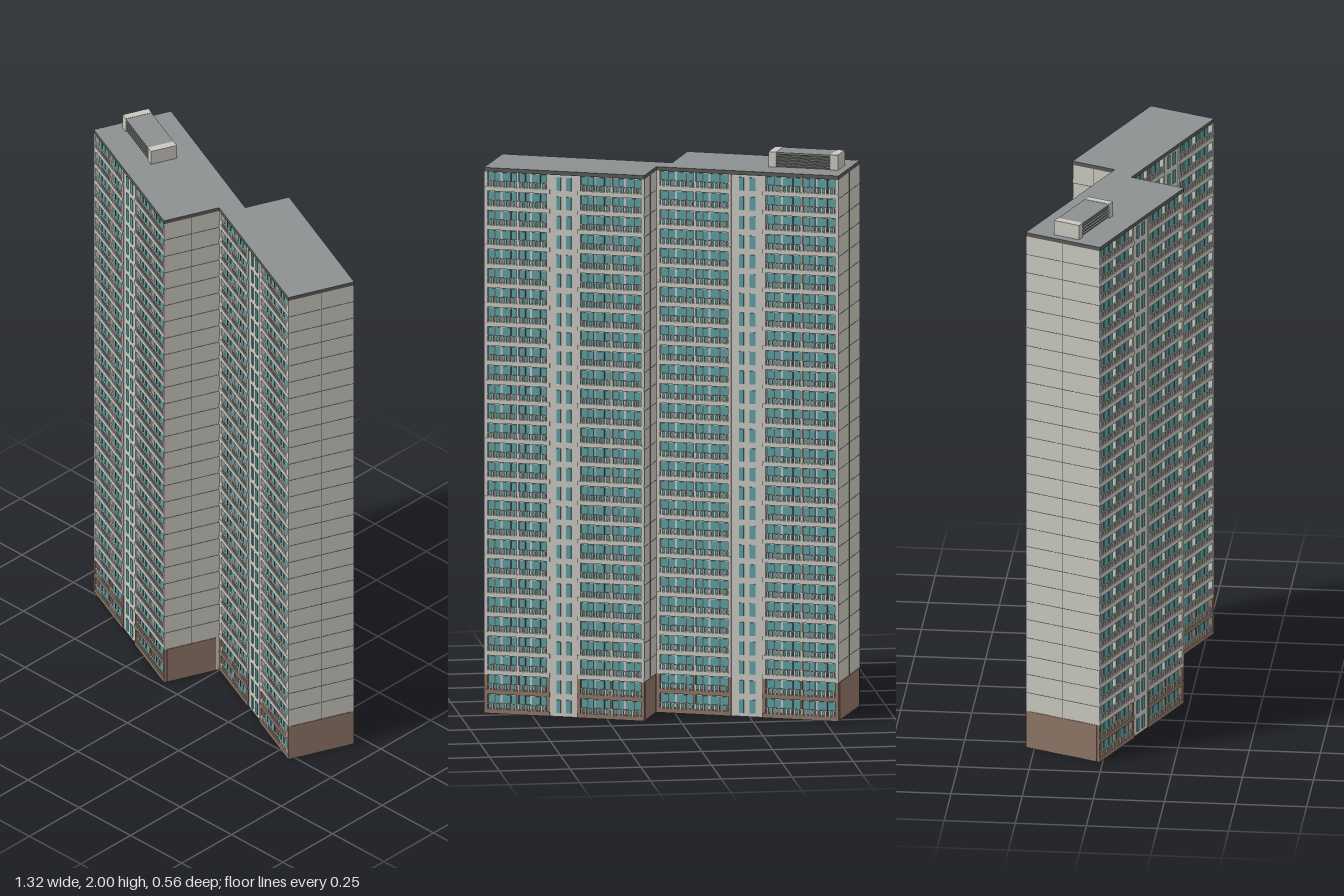
import * as THREE from 'three';
import { mergeGeometries } from 'three/addons/utils/BufferGeometryUtils.js';

const mat = (name, color) => Object.assign(new THREE.MeshStandardMaterial({ color }), { name });
const M = {
  wall: mat('pale concrete', 0xcac8c0),
  glass: mat('teal glass', 0x5c9fa3),
  base: mat('brown base cladding', 0x8f7567),
  roof: mat('grey roofing', 0x8c9090),
  trim: mat('dark grey trim', 0x5a5954),
};

const FLOORS = 28, H = 0.069, BASE = 2, ROOF = FLOORS * H, TOP = 1.946, D = 0.02;

// Box given by its minimum and maximum corners
const box = (x0, x1, y0, y1, z0, z1) =>
  new THREE.BoxGeometry(x1 - x0, y1 - y0, z1 - z0).translate((x0 + x1) / 2, (y0 + y1) / 2, (z0 + z1) / 2);

function add(group, name, geometry, material) {
  const m = new THREE.Mesh(Array.isArray(geometry) ? mergeGeometries(geometry) : geometry, material);
  m.name = name;
  group.add(m);
  return m;
}

// Repeats one storey's geometry over a range of floors
function stack(parts, from, to) {
  const storey = mergeGeometries(parts), all = [];
  for (let f = from; f < to; f++) all.push(storey.clone().translate(0, f * H, 0));
  return mergeGeometries(all);
}

// Footprint prism of the two offset wings; the long sides can be inset
function prism(inset, y0, y1) {
  const af = 0.245 - inset, ab = -0.049 + inset, bf = 0.035 - inset, bb = -0.216 + inset;
  const pts = [[-0.613, ab], [-0.613, af], [0.011, af], [0.011, bf],
    [0.6255, bf], [0.6255, bb], [0.046, bb], [0.046, ab]];
  const shape = new THREE.Shape(pts.map(([x, z]) => new THREE.Vector2(x, -z)));
  return new THREE.ExtrudeGeometry(shape, { depth: y1 - y0, bevelEnabled: false })
    .rotateX(-Math.PI / 2).translate(0, y0, 0);
}

// One long side: two balcony bays around a stair core; x runs 0..L, outer plane at z = 0
function facade(name, L) {
  const g = new THREE.Group();
  g.name = name;
  const frame = [], glass = [], rails = [], doors = [];
  const c0 = 0.41 * L, c1 = 0.58 * L;
  for (const [a, b] of [[0, c0], [c1, L]]) {
    const w = b - a, at = (f) => a + f * w;
    // floor slab, end piers and the wall dividing the two flats
    frame.push(box(a, b, 0, 0.016, -D, 0));
    frame.push(box(a, a + 0.012, 0.016, H, -D, -0.001), box(b - 0.012, b, 0.016, H, -D, -0.001));
    frame.push(box(at(0.49), at(0.52), 0.016, H, -D, -0.004));
    // window strips at the back of the balconies
    for (const [p, q] of [[0.05, 0.23], [0.26, 0.49], [0.52, 0.68], [0.71, 0.95]])
      glass.push(box(at(p), at(q), 0.016, H - 0.005, -D, -D + 0.003));
    // dark door frames
    for (const f of [0.14, 0.38, 0.6, 0.83])
      doors.push(box(at(f), at(f) + 0.004, 0.016, H - 0.005, -D, -D + 0.005));
    // railing
    const n = 18, x0 = a + 0.012, step = (w - 0.024) / n;
    for (let i = 0; i < n; i++)
      rails.push(box(x0 + (i + 0.25) * step, x0 + (i + 0.72) * step, 0.016, 0.035, -0.004, -0.001));
    rails.push(box(x0, b - 0.012, 0.034, 0.037, -0.005, -0.001));
  }
  add(g, 'balconyFrames', stack(frame, BASE, FLOORS), M.wall);
  add(g, 'baseBalconyFrames', stack(frame, 0, BASE), M.base);
  add(g, 'windows', stack(glass, 0, FLOORS), M.glass);
  add(g, 'doorFrames', stack(doors, 0, FLOORS), M.trim);
  add(g, 'railings', stack(rails, 0, FLOORS), M.wall);
  // stair core with two columns of windows
  add(g, 'stairCore', box(c0, c1, 0, ROOF, -D, -0.005), M.wall);
  const panes = [[0.452, 0.478], [0.51, 0.543]].map(([p, q]) => box(p * L, q * L, 0.013, 0.06, -0.005, -0.002));
  add(g, 'stairWindows', stack(panes, 0, FLOORS), M.glass);
  return g;
}

// Blank gable: brown base panel and fine panel joints; dir is the outward x direction
function gable(name, s, z0, z1, dir) {
  const g = new THREE.Group();
  g.name = name;
  const plate = (y0, y1, a, b, t) => box(Math.min(s, s + dir * t), Math.max(s, s + dir * t), y0, y1, a, b);
  add(g, 'gableBase', plate(0.003, BASE * H, z0 + 0.012, z1 - 0.012, 0.002), M.base);
  const joints = [plate(BASE * H, ROOF, (z0 + z1) / 2 - 0.0006, (z0 + z1) / 2 + 0.0006, 0.0008)];
  for (let f = BASE + 1; f < FLOORS; f++) joints.push(plate(f * H, f * H + 0.0013, z0, z1, 0.0008));
  add(g, 'panelJoints', joints, M.trim);
  return g;
}

// Rooftop plant room: pale end walls, louvred sides
function plantRoom() {
  const g = new THREE.Group();
  g.name = 'plantRoom';
  const x0 = -0.585, x1 = -0.333, z0 = 0.049, z1 = 0.147, e = 0.028;
  add(g, 'plantEndWalls', [box(x0, x0 + e, TOP, 2, z0, z1), box(x1 - e, x1, TOP, 2, z0, z1)], M.wall);
  add(g, 'plantCore', box(x0 + e, x1 - e, TOP, 1.993, z0 + 0.008, z1 - 0.008), M.trim);
  add(g, 'plantRoof', box(x0 + e, x1 - e, 1.993, 1.999, z0, z1), M.roof);
  const slats = [];
  for (let i = 0; i < 4; i++) {
    const y = TOP + 0.005 + i * 0.011;
    slats.push(box(x0 + e, x1 - e, y, y + 0.005, z0 + 0.002, z1 - 0.002));
  }
  add(g, 'louvres', slats, M.roof);
  return g;
}

export function createModel() {
  const model = new THREE.Group();
  model.name = 'apartmentTower';
  const tower = new THREE.Group();
  tower.name = 'tower';
  tower.rotation.y = -THREE.MathUtils.degToRad(22.65);
  model.add(tower);

  // structure and roof slab with a dark edge
  add(tower, 'body', prism(D, 0, ROOF), M.wall);
  add(tower, 'roofSlab', prism(0, ROOF, TOP), [M.roof, M.trim]);

  // long sides: start, end, plane and whether it faces the back
  for (const [name, s0, s1, t, back] of [
    ['leftWingFront', -0.613, 0.011, 0.245, false], ['rightWingFront', 0.011, 0.6255, 0.035, false],
    ['leftWingBack', -0.613, 0.046, -0.049, true], ['rightWingBack', 0.046, 0.6255, -0.216, true]]) {
    const f = facade(name, s1 - s0);
    f.position.set(back ? s1 : s0, 0, t);
    f.rotation.y = back ? Math.PI : 0;
    tower.add(f);
  }

  // gable ends
  tower.add(
    gable('outerGableA', -0.613, -0.049, 0.245, -1), gable('innerGableA', 0.011, 0.035, 0.245, 1),
    gable('outerGableB', 0.6255, -0.216, 0.035, 1), gable('innerGableB', 0.046, -0.216, -0.049, -1),
    plantRoom());
  return model;
}
